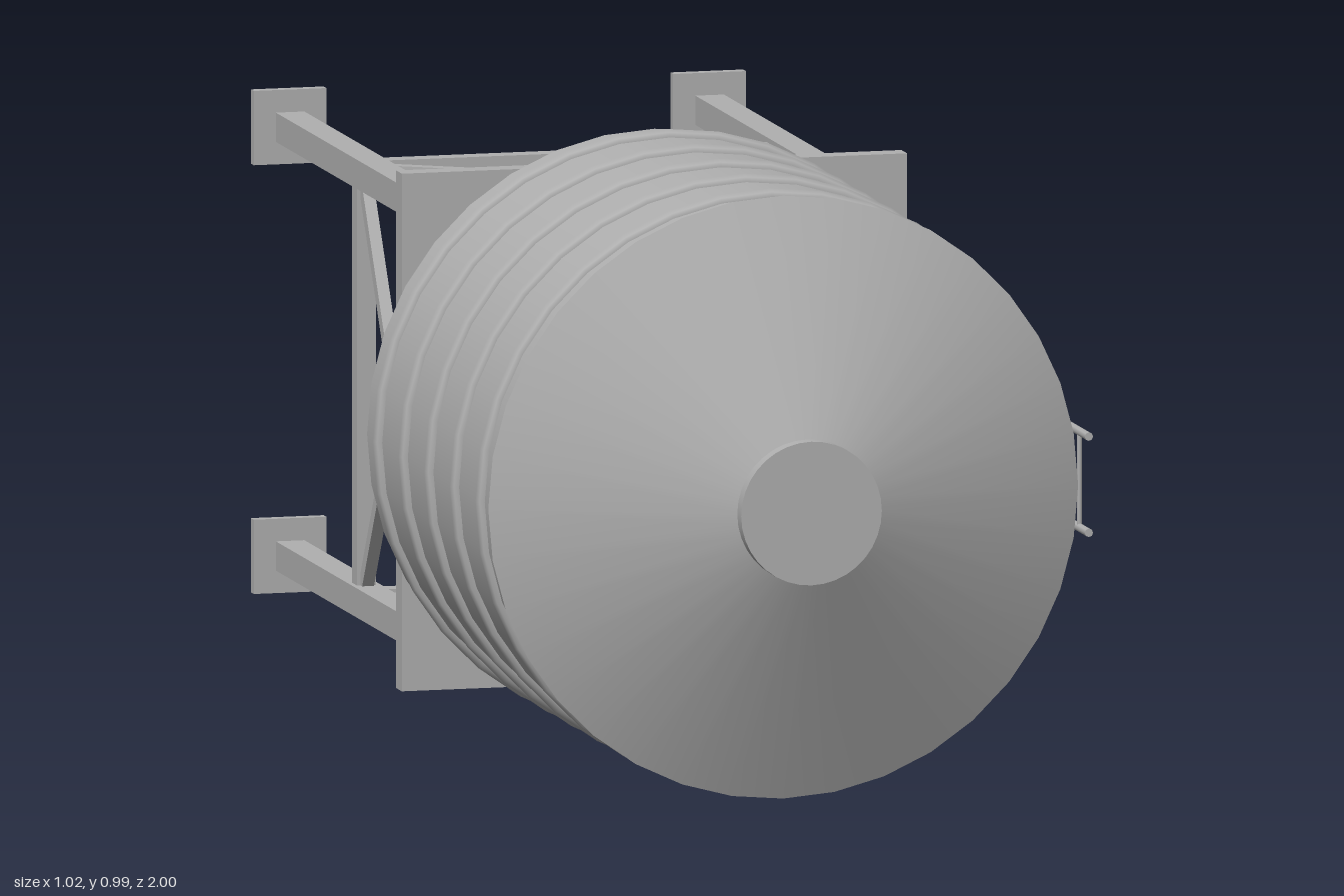
import * as THREE from 'three';

export function createModel() {
  const model = new THREE.Group();
  model.name = 'waterTank';
  const grey = new THREE.MeshStandardMaterial({ color: 0xb0b0b0 });
  grey.name = 'grey metal';

  // Everything is placed around the tank's axis, which runs along z
  const body = new THREE.Group();
  body.name = 'tankAssembly';
  body.position.set(-0.013, 0.497, 0);
  model.add(body);

  function add(name, geometry, x = 0, y = 0, z = 0) {
    const mesh = new THREE.Mesh(geometry, grey);
    mesh.name = name;
    mesh.position.set(x, y, z);
    body.add(mesh);
    return mesh;
  }
  const box = (name, w, h, d, x, y, z) => add(name, new THREE.BoxGeometry(w, h, d), x, y, z);

  // Round part along z, from the back (z0) to the front (z1)
  function round(name, r0, r1, z0, z1, sides, x = 0, y = 0) {
    const g = new THREE.CylinderGeometry(r1, r0, z1 - z0, sides);
    g.rotateX(Math.PI / 2);
    return add(name, g, x, y, (z0 + z1) / 2);
  }

  // Square bar between two points
  function bar(name, a, b, size) {
    const mesh = add(name, new THREE.BoxGeometry(size, size, a.distanceTo(b)));
    mesh.position.copy(a).add(b).multiplyScalar(0.5);
    mesh.quaternion.setFromUnitVectors(new THREE.Vector3(0, 0, 1), b.clone().sub(a).normalize());
  }

  // Tank, conical roof and hatch
  round('tankShell', 0.482, 0.482, 0, 0.82, 36);
  round('conicalRoof', 0.495, 0.118, 0.82, 0.975, 36);
  round('roofHatch', 0.118, 0.118, 0.97, 1, 36);

  // Hoops around the shell
  for (let i = 0; i < 5; i++) {
    add('hoop', new THREE.TorusGeometry(0.48, 0.014, 8, 36), 0, 0, 0.083 + i * 0.163);
  }

  // Platform under the tank
  box('platform', 0.848, 0.85, 0.036, 0, 0, -0.017);

  // Four legs with foot plates
  const L = 0.352;
  for (const sx of [-1, 1]) {
    for (const sy of [-1, 1]) {
      box('leg', 0.048, 0.048, 0.95, sx * L, sy * L, -0.51);
      box('footPlate', 0.122, 0.122, 0.018, sx * L, sy * L, -0.991);
    }
  }

  // Girts and crossed braces on the four sides of the leg frame
  for (const s of [-1, 1]) {
    for (const z of [-0.055, -0.512]) {
      box('girt', 2 * L - 0.04, 0.032, 0.032, 0, s * L, z);
      box('girt', 0.032, 2 * L - 0.04, 0.032, s * L, 0, z);
    }
    for (const d of [-1, 1]) {
      const e = 0.335;
      bar('crossBrace', new THREE.Vector3(-d * e, s * L, -0.08), new THREE.Vector3(d * e, s * L, -0.502), 0.02);
      bar('crossBrace', new THREE.Vector3(s * L, -d * e, -0.08), new THREE.Vector3(s * L, d * e, -0.502), 0.02);
    }
  }

  // Central pipe with its base plate and valve wheel
  round('centralPipe', 0.02, 0.02, -0.985, -0.03, 16);
  box('pipeBase', 0.108, 0.112, 0.022, 0, 0, -0.989);
  const wheel = add('valveWheel', new THREE.TorusGeometry(0.026, 0.011, 8, 20), 0, 0, -0.665);
  wheel.rotation.y = Math.PI / 2;

  // Ladder along the left side
  const ladderX = 0.513;
  for (const s of [-1, 1]) {
    round('ladderRail', 0.007, 0.007, -0.52, 0.82, 8, ladderX, s * 0.079);
  }
  for (let i = 0; i < 12; i++) {
    add('ladderRung', new THREE.CylinderGeometry(0.0045, 0.0045, 0.158, 8), ladderX, 0, 0.76 - i * 0.1107);
  }

  return model;
}
